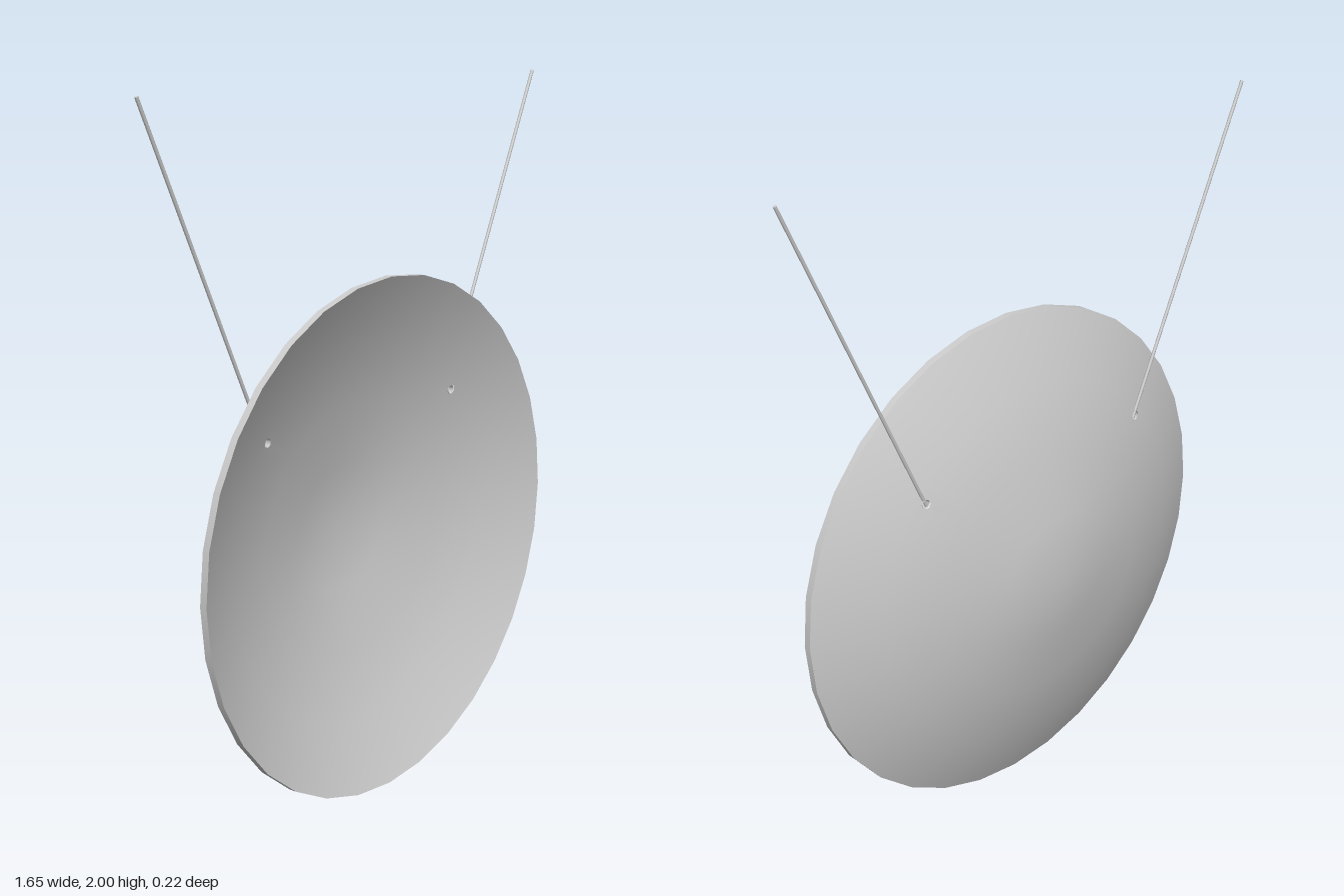
import * as THREE from 'three';
import { mergeGeometries } from 'three/addons/utils/BufferGeometryUtils.js';

const SIDES = 32, R = 0.743, THICK = 0.022;
const STEP = R / 4;                                    // ring spacing of the dish
const DEPTHS = [-0.112, -0.088, -0.047, 0.003, 0.09];  // back surface z at each ring
const HOLE = { x: 0.405, y: 0.345, r: 0.013 };         // from the dish centre

// back surface depth at a radius
function depthAt(r) {
  const i = Math.min(3, Math.floor(r / STEP + 1e-6));
  return THREE.MathUtils.lerp(DEPTHS[i], DEPTHS[i + 1], r / STEP - i);
}

// one flat cell of the dish, pierced where a rod is fastened
function cell(ring, sector) {
  const at = (r, s) => {
    const a = s / SIDES * Math.PI * 2;
    return new THREE.Vector2(Math.cos(a) * r, Math.sin(a) * r);
  };
  const r0 = ring * STEP, r1 = r0 + STEP;
  const pts = [at(r0, sector), at(r1, sector), at(r1, sector + 1)];
  if (ring > 0) pts.push(at(r0, sector + 1));
  const shape = new THREE.Shape(pts);
  if (ring === 2 && (sector === 3 || sector === 12)) {
    const side = sector === 3 ? 1 : -1;
    shape.holes.push(new THREE.Path().absarc(side * HOLE.x, HOLE.y, HOLE.r, 0, Math.PI * 2, true));
  }
  return new THREE.ShapeGeometry(shape, 6);
}

// the bowl surface, facing front or back, with smooth normals from the profile slope
function bowl(offset, facing) {
  const cells = [];
  for (let ring = 0; ring < 4; ring++)
    for (let s = 0; s < SIDES; s++) cells.push(cell(ring, s));
  const g = mergeGeometries(cells);
  const p = g.attributes.position, n = g.attributes.normal, v = new THREE.Vector3();
  for (let i = 0; i < p.count; i++) {
    const x = p.getX(i), y = p.getY(i), r = Math.min(R, Math.hypot(x, y));
    p.setZ(i, depthAt(r) + offset);
    const a = Math.max(0, r - 0.08), b = Math.min(R, r + 0.08);
    const slope = r < 1e-4 ? 0 : (depthAt(b) - depthAt(a)) / (b - a) / r;
    v.set(-x * slope, -y * slope, 1).normalize().multiplyScalar(facing);
    n.setXYZ(i, v.x, v.y, v.z);
  }
  if (facing < 0) g.index.array.reverse();
  return g;
}

export function createModel() {
  const group = new THREE.Group();
  const grey = new THREE.MeshStandardMaterial({ color: 0xcccccc });
  const open = new THREE.MeshStandardMaterial({ color: 0xcccccc, side: THREE.DoubleSide });
  const add = (parent, name, geometry, material = grey) => {
    const mesh = new THREE.Mesh(geometry, material);
    mesh.name = name;
    parent.add(mesh);
    return mesh;
  };

  // shallow dish, hollow side to the front
  const dish = new THREE.Group();
  dish.name = 'dish';
  dish.position.y = R;
  group.add(dish);
  add(dish, 'dishBack', bowl(0, -1));
  add(dish, 'dishFront', bowl(THICK, 1));
  const rim = new THREE.CylinderGeometry(R, R, THICK, SIDES, 1, true).rotateX(Math.PI / 2);
  add(dish, 'rim', rim).position.z = DEPTHS[4] + THICK / 2;

  // fastening holes and the rods that hang the dish
  for (const side of [1, -1]) {
    const name = side > 0 ? 'left' : 'right';
    const wall = new THREE.CylinderGeometry(HOLE.r, HOLE.r, THICK, 12, 1, true).rotateX(Math.PI / 2);
    add(dish, name + 'HoleWall', wall, open)
      .position.set(side * HOLE.x, HOLE.y, depthAt(Math.hypot(HOLE.x, HOLE.y)) + THICK / 2);

    const from = new THREE.Vector3(side * 0.4, 1.08, 0.001);
    const to = new THREE.Vector3(side * 0.822, 1.998, 0.001);
    const dir = to.clone().sub(from);
    const rod = add(group, name + 'Rod', new THREE.CylinderGeometry(0.005, 0.005, dir.length(), 8));
    rod.position.copy(from).add(to).multiplyScalar(0.5);
    rod.quaternion.setFromUnitVectors(new THREE.Vector3(0, 1, 0), dir.normalize());
  }
  return group;
}
